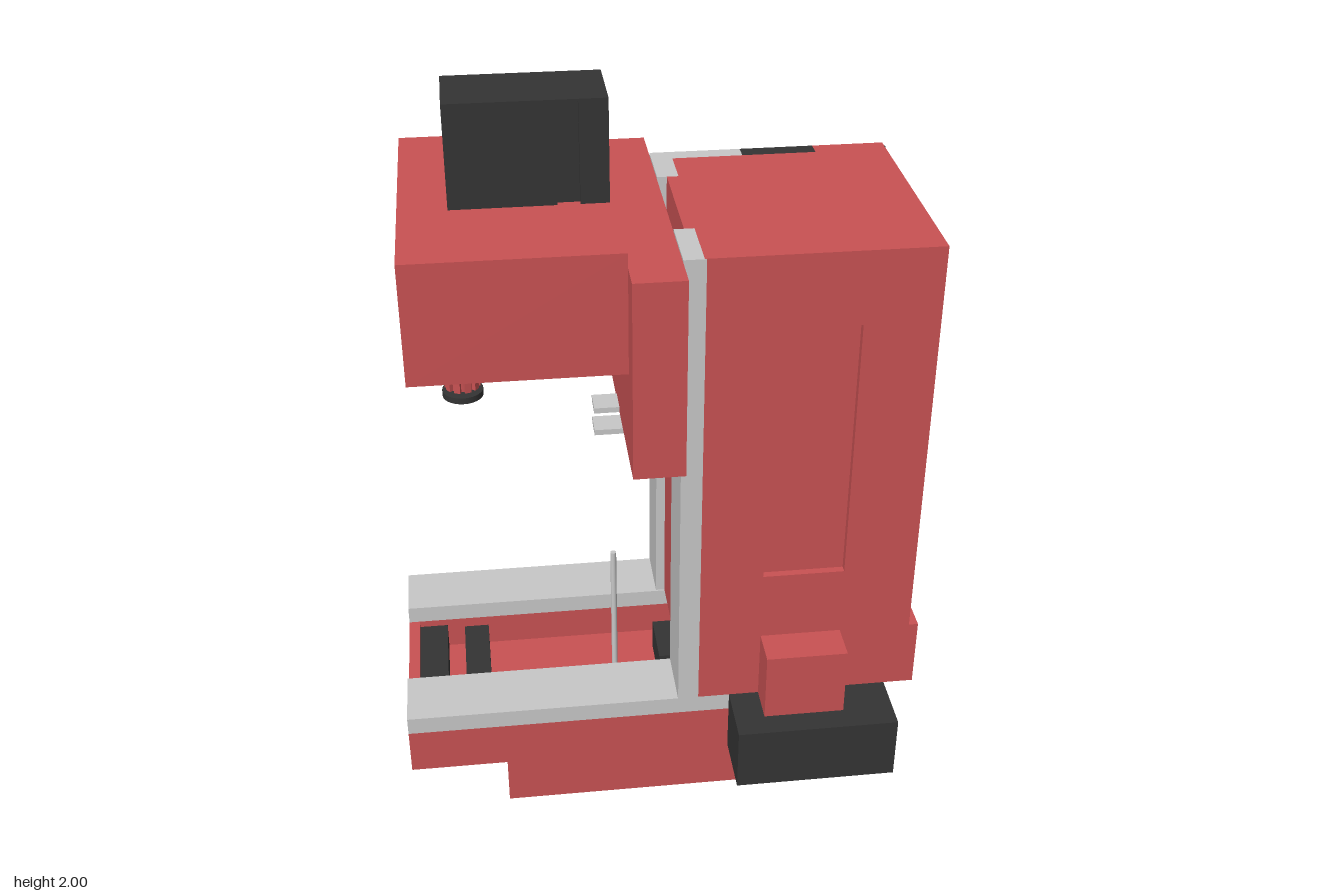
import * as THREE from 'three';

export function createModel() {
  const model = new THREE.Group();
  const mat = (name, color) => {
    const m = new THREE.MeshStandardMaterial({ color });
    m.name = name;
    return m;
  };
  const red = mat('machine red', 0xc95253);
  const grey = mat('rail grey', 0xc8c8c8);
  const black = mat('motor black', 0x343434);
  const MID = -0.0175; // centre plane of the machine in z

  const add = (name, geometry, material) => {
    const mesh = new THREE.Mesh(geometry, material);
    mesh.name = name;
    model.add(mesh);
    return mesh;
  };
  // box given by its limits on each axis
  const box = (name, material, x0, x1, y0, y1, z0, z1) => {
    const m = add(name, new THREE.BoxGeometry(x1 - x0, y1 - y0, z1 - z0), material);
    m.position.set((x0 + x1) / 2, (y0 + y1) / 2, (z0 + z1) / 2);
    return m;
  };
  // upright cylinder given by its bottom and top
  const cyl = (name, material, x, z, y0, y1, r, rTop = r, sides = 28) => {
    const m = add(name, new THREE.CylinderGeometry(rTop, r, y1 - y0, sides), material);
    m.position.set(x, (y0 + y1) / 2, z);
    return m;
  };

  // plinth and hollow bed
  box('plinth', red, -0.43, 0.35, 0, 0.2, -0.275, 0.245);
  box('bedFloor', red, -0.69, 0.6, 0.2, 0.235, -0.34, 0.31);
  box('bedSideWall', red, -0.69, 0.6, 0.235, 0.33, 0.14, 0.31);
  box('bedSideWall', red, -0.69, 0.6, 0.235, 0.33, -0.34, -0.175);
  box('bedEndWall', red, -0.69, -0.66, 0.235, 0.33, -0.175, 0.14);
  box('bedEndWall', red, 0.57, 0.6, 0.235, 0.33, -0.175, 0.14);

  // bed guide rails
  box('bedRail', grey, -0.69, 0.6, 0.33, 0.38, 0.14, 0.31);
  box('bedRail', grey, -0.69, 0.6, 0.33, 0.38, -0.34, -0.175);

  // fittings inside the bed
  box('endBlock', black, -0.66, -0.58, 0.235, 0.31, -0.175, 0.14);
  box('endBlock', black, -0.53, -0.46, 0.235, 0.3, -0.175, 0.14);
  box('bedMotor', black, -0.29, -0.02, 0.235, 0.295, 0.05, 0.13);
  box('innerBlock', black, 0.02, 0.1, 0.235, 0.325, -0.1, 0.06);
  cyl('rodFoot', red, -0.112, 0.105, 0.28, 0.33, 0.035, 0.012, 16);
  cyl('probeRod', grey, -0.112, 0.105, 0.32, 0.735, 0.008, 0.008, 12);

  // supports between the column and the bed
  for (const z of [0.1, -0.12]) {
    cyl('supportCap', red, 0.3, z, 0.362, 0.38, 0.048);
    cyl('supportStem', red, 0.3, z, 0.235, 0.362, 0.025);
  }

  // column core, with a framed recess on the front
  box('columnCore', red, 0.09, 0.665, 0.38, 1.69, -0.3, 0.29);
  const frame = new THREE.Shape([
    [0.09, 0.38], [0.665, 0.38], [0.665, 1.69], [0.09, 1.69],
  ].map(p => new THREE.Vector2(...p)));
  frame.holes.push(new THREE.Path([
    [0.26, 0.77], [0.26, 1.495], [0.475, 1.495], [0.475, 0.77],
  ].map(p => new THREE.Vector2(...p))));
  const frontFrame = new THREE.ExtrudeGeometry(frame, { depth: 0.02, bevelEnabled: false });
  add('columnFrontFrame', frontFrame, red).position.z = 0.29;

  // column back, with a recess open at the grey backplate
  box('columnBackSide', red, 0.475, 0.665, 0.38, 1.69, -0.345, -0.3);
  box('columnBackLower', red, 0.28, 0.475, 0.38, 0.77, -0.345, -0.3);
  box('columnBackVent', black, 0.28, 0.475, 1.5, 1.69, -0.345, -0.3);
  box('ventSlat', black, 0.28, 0.475, 1.58, 1.6, -0.35, -0.345);
  box('backPlate', grey, 0.04, 0.28, 0.38, 1.69, -0.345, -0.3);
  box('doorSeam', black, 0.664, 0.667, 0.575, 1.69, -0.322, -0.314);
  box('columnSkirt', red, 0.66, 0.69, 0.38, 0.575, -0.345, 0.31);

  // vertical guide rails and the wall between them
  box('columnRail', grey, 0.04, 0.095, 0.38, 1.69, 0.14, 0.312);
  box('columnRail', grey, 0.04, 0.095, 0.38, 1.69, -0.3, -0.18);
  box('columnInnerWall', red, 0.065, 0.09, 0.38, 1.69, -0.18, 0.14);
  box('columnBearing', black, 0.035, 0.065, 0.93, 1.1, -0.1, 0.02);
  box('columnBearing', black, 0.035, 0.065, 1.43, 1.53, -0.1, 0.02);

  // feed motor housing and gearbox at the front
  box('feedMotor', black, 0.18, 0.61, 0.2, 0.38, 0.31, 0.475);
  box('feedGearbox', red, 0.26, 0.475, 0.38, 0.575, 0.31, 0.41);

  // control cabinet at the back
  box('controlCabinet', black, 0.036, 0.315, 0.92, 1.43, -0.46, -0.345);
  box('cabinetPanel', red, 0.06, 0.285, 0.93, 1.22, -0.475, -0.46);

  // arms beside the column
  box('toolArm', grey, -0.155, 0.065, 1.105, 1.12, 0.03, 0.1);
  box('toolArm', grey, -0.155, 0.065, 1.17, 1.185, 0.03, 0.1);

  // saddle and spindle head
  box('saddle', red, -0.09, 0.038, 1.17, 1.69, -0.455, 0.418);
  box('head', red, -0.61, -0.093, 1.43, 1.74, -0.4, 0.365);

  // head motor with recessed grooves
  box('headMotor', black, -0.49, -0.23, 1.74, 2, -0.115, 0.08);
  box('headMotorGroove', black, -0.23, -0.175, 1.74, 1.995, -0.1, 0.065);
  box('headMotorEnd', black, -0.175, -0.105, 1.74, 2, -0.115, 0.08);
  box('headMotorLid', black, -0.23, -0.175, 1.995, 2, -0.115, 0.08);

  // spindle
  const sx = -0.485;
  cyl('spindleShaft', black, sx, MID, 1.17, 1.43, 0.01);
  cyl('spindleSleeve', red, sx, MID, 1.29, 1.42, 0.039);
  cyl('spindleCollar', red, sx, MID, 1.21, 1.28, 0.037);
  for (let i = 0; i < 10; i++) {
    const a = (i / 10) * Math.PI * 2;
    const rib = box('collarRib', red, -0.008, 0.008, 1.21, 1.28, -0.008, 0.008);
    rib.position.x = sx + Math.cos(a) * 0.038;
    rib.position.z = MID + Math.sin(a) * 0.038;
    rib.rotation.y = -a;
  }
  cyl('toolDisc', black, sx, MID, 1.183, 1.2, 0.053);

  return model;
}
